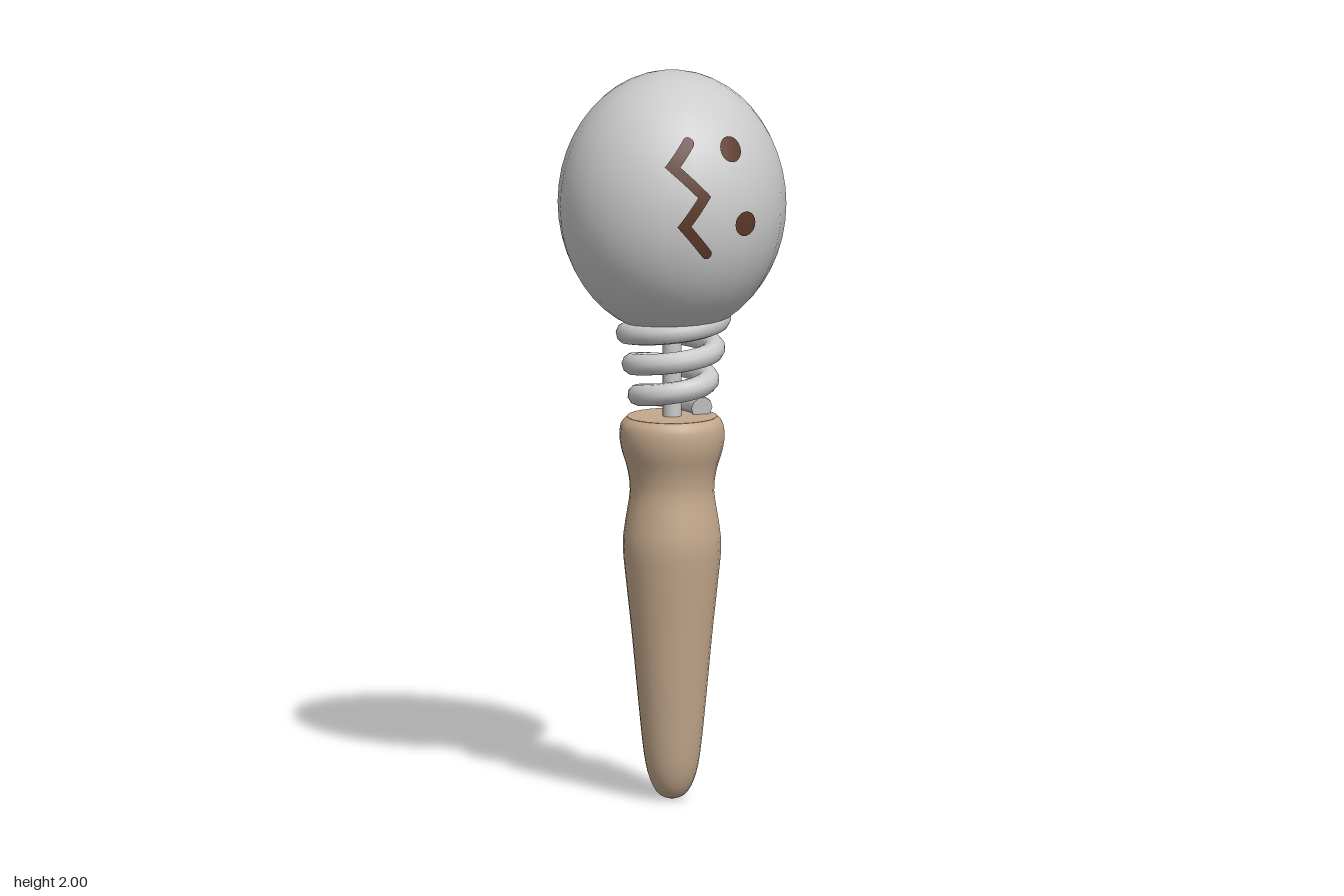
import * as THREE from 'three';

const HEAD = { y: 1.64, r: 0.309, h: 0.36 };

export function createModel() {
  const model = new THREE.Group();
  const grey = new THREE.MeshStandardMaterial({ color: 0xcccccc });
  const wood = new THREE.MeshStandardMaterial({ color: 0xc4a88c });
  const paint = new THREE.MeshStandardMaterial({ color: 0x5a3828, side: THREE.DoubleSide });

  const add = (name, geometry, material, parent = model) => {
    const mesh = new THREE.Mesh(geometry, material);
    mesh.name = name;
    parent.add(mesh);
    return mesh;
  };

  // Turned wooden handle
  const side = new THREE.SplineCurve([
    [0, 0.005], [0.035, 0.018], [0.06, 0.06], [0.076, 0.13], [0.092, 0.28], [0.108, 0.45],
    [0.124, 0.6], [0.133, 0.7], [0.126, 0.77], [0.114, 0.85], [0.121, 0.91], [0.136, 0.96],
    [0.142, 1.0], [0.138, 1.035], [0.122, 1.054],
  ].map(([x, y]) => new THREE.Vector2(x, y))).getPoints(42);
  side[0].x = 0;
  add('handle', new THREE.LatheGeometry(side, 24), wood);
  const handleTop = add('handleTop', new THREE.CylinderGeometry(0.122, 0.122, 0.004, 24), wood);
  handleTop.position.y = 1.053;

  // Core rod running inside the spring
  const rod = add('coreRod', new THREE.CylinderGeometry(0.025, 0.025, 0.3, 12), grey);
  rod.position.y = 1.19;

  // Widening coil spring
  const turns = 3.2, wire = 0.03;
  const coil = [];
  for (let i = 0; i <= 64; i++) {
    const t = (i / 64) * turns, a = 0.25 - t * Math.PI * 2;
    const r = 0.083 + 0.016 * t;
    coil.push(new THREE.Vector3(r * Math.cos(a), 1.073 + 0.085 * t, r * Math.sin(a)));
  }
  const path = new THREE.CatmullRomCurve3(coil);
  add('spring', new THREE.TubeGeometry(path, 128, wire, 10), grey);
  const springEnd = add('springEnd', new THREE.CircleGeometry(wire, 10), grey);
  springEnd.position.copy(coil[0]);
  springEnd.lookAt(coil[0].clone().sub(path.getTangent(0)));

  // Egg-shaped head
  const head = add('head', new THREE.SphereGeometry(HEAD.r, 24, 24), grey);
  head.scale.y = HEAD.h / HEAD.r;
  head.position.y = HEAD.y;

  // Painted face: flat geometry wrapped onto the front of the head
  const face = new THREE.Group();
  face.name = 'face';
  model.add(face);
  const wrap = (geometry) => {
    const p = geometry.attributes.position;
    for (let i = 0; i < p.count; i++) {
      const x = p.getX(i), v = (p.getY(i) - HEAD.y) / HEAD.h;
      const z = Math.sqrt(HEAD.r ** 2 * (1 - v * v) - x * x);
      p.setZ(i, z + 0.004);
    }
    geometry.computeVertexNormals();
    return geometry;
  };
  const dot = (name, x, y, r) =>
    add(name, wrap(new THREE.RingGeometry(0, r, 20, 3).translate(x, y, 0)), paint, face);
  dot('upperEye', 0.041, 1.824, 0.033);
  dot('lowerEye', 0.066, 1.624, 0.034);

  // Zigzag mouth: a mitred ribbon with rounded ends
  const zig = [[-0.076, 1.848], [-0.13, 1.786], [-0.057, 1.706], [-0.113, 1.627], [-0.049, 1.549]]
    .map(([x, y]) => new THREE.Vector2(x, y));
  const half = 0.014, steps = 6;
  const normal = (i) => {
    const d = zig[i + 1].clone().sub(zig[i]).normalize();
    return new THREE.Vector2(-d.y, d.x);
  };
  const mitre = zig.map((_, i) => {
    const a = normal(Math.max(i - 1, 0)), b = normal(Math.min(i, zig.length - 2));
    const m = a.clone().add(b).normalize();
    return m.multiplyScalar(half / m.dot(a));
  });
  const rows = (zig.length - 1) * steps;
  const ribbon = new THREE.PlaneGeometry(1, 1, 2, rows);
  for (let row = 0; row <= rows; row++) {
    const i = Math.min(Math.floor(row / steps), zig.length - 2), t = row / steps - i;
    const c = zig[i].clone().lerp(zig[i + 1], t), m = mitre[i].clone().lerp(mitre[i + 1], t);
    for (let k = 0; k < 3; k++) {
      const s = k - 1;
      ribbon.attributes.position.setXYZ(row * 3 + k, c.x + m.x * s, c.y + m.y * s, 0);
    }
  }
  add('mouth', wrap(ribbon), paint, face);
  dot('mouthUpperEnd', zig[0].x, zig[0].y, half);
  dot('mouthLowerEnd', zig[4].x, zig[4].y, half);

  return model;
}
